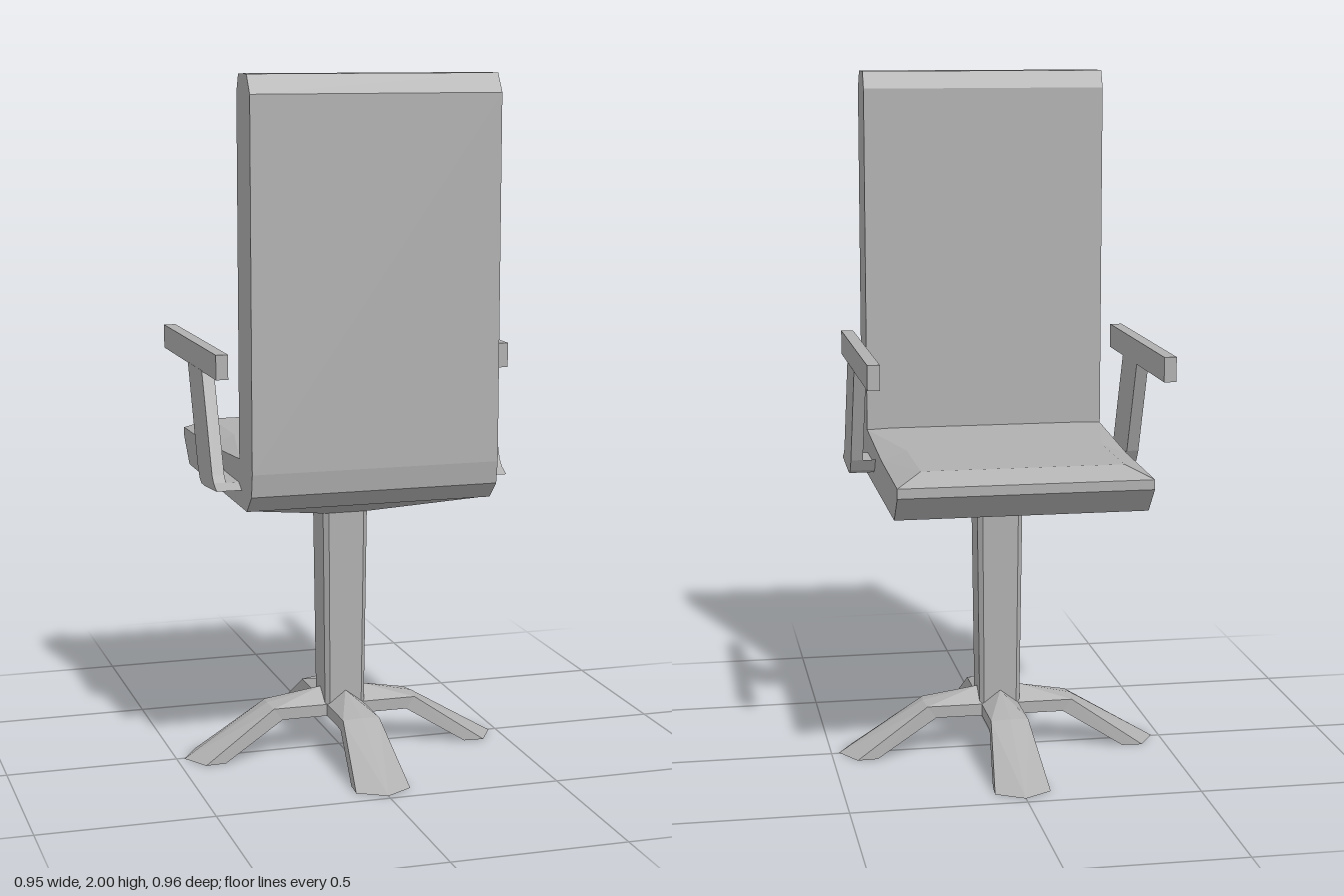
import * as THREE from 'three';
import { ConvexGeometry } from 'three/addons/geometries/ConvexGeometry.js';

export function createModel() {
  const chair = new THREE.Group();
  chair.name = 'swivelChair';
  const grey = new THREE.MeshStandardMaterial({ color: 0xb0b0b0, flatShading: true });
  grey.name = 'plain grey';

  const add = (name, geometry, parent = chair) => {
    const mesh = new THREE.Mesh(geometry, grey);
    mesh.name = name;
    parent.add(mesh);
    return mesh;
  };
  // Solid hull around [x, y, z] corners
  const hull = (points) => new ConvexGeometry(points.map((p) => new THREE.Vector3(...p)));
  // Corners repeated on both sides of x = 0
  const mirrored = (points) => points.flatMap(([x, y, z]) => [[x, y, z], [-x, y, z]]);
  // Side outline given as [z, y], swept from x0 to x1
  const sweep = (outline, x0, x1) => {
    const shape = new THREE.Shape(outline.map(([z, y]) => new THREE.Vector2(-z, y)));
    return new THREE.ExtrudeGeometry(shape, { depth: x1 - x0, bevelEnabled: false })
      .rotateY(Math.PI / 2).translate(x0, 0, 0);
  };

  // L-shaped seat and backrest shell
  const W = 0.358;
  add('seatAndBackrest', sweep([
    [0.305, 0.8], [-0.41, 0.8], [-0.48, 0.875], [-0.48, 0.903], [-0.13, 0.91], [0.222, 0.935],
    [0.222, 1.95], [0.243, 2], [0.333, 2], [0.367, 1.947], [0.367, 0.915], [0.357, 0.85],
  ], -W, W));

  // Raised cushion with sloping edges, front and rear halves
  add('cushionFront', hull(mirrored([
    [W, 0.903, -0.48], [W, 0.91, -0.13], [0.285, 0.937, -0.42], [0.285, 0.938, -0.13],
  ])));
  add('cushionRear', hull(mirrored([
    [W, 0.91, -0.13], [W, 0.935, 0.222], [0.285, 0.938, -0.13], [0.285, 0.938, 0.222],
  ])));

  // Tapered underside meeting the post
  add('seatUnderside', hull(mirrored([
    [W, 0.802, 0.305], [W, 0.802, -0.41], [0.064, 0.728, 0.073], [0.064, 0.728, -0.057],
  ])));

  // Post with narrow bevelled corners
  const ring = (y, a, b) => mirrored([[a, y, b], [a, y, -b], [b, y, a], [b, y, -a]]);
  const post = add('post', hull([...ring(0.735, 0.067, 0.053), ...ring(0.13, 0.06, 0.048)]));
  post.position.z = 0.007;

  // Four-legged base: a ridged arm that bends down to a pointed foot
  const base = new THREE.Group();
  base.name = 'base';
  base.position.z = 0.005;
  chair.add(base);
  const hub = [[0, 0.187, 0], ...mirrored([[0.055, 0.145, 0], [0.055, 0.11, 0]])];
  const shoulder = [[0, 0.187, 0.06]];
  const knee = [[0, 0.15, 0.225], ...mirrored([[0.055, 0.145, 0.218], [0.055, 0.11, 0.192]])];
  const foot = [[0, 0, 0.477], ...mirrored([[0.08, 0, 0.43], [0.076, 0, 0.37]])];
  for (let i = 0; i < 4; i++) {
    const leg = new THREE.Group();
    leg.name = 'leg' + (i + 1);
    leg.rotation.y = i * Math.PI / 2;
    base.add(leg);
    add('legArm', hull([...hub, ...shoulder, ...knee]), leg);
    add('legFoot', hull([...knee, ...foot]), leg);
  }

  // Armrests: level bar, slanted strut and bracket to the seat
  for (const side of [1, -1]) {
    const arm = new THREE.Group();
    arm.name = side > 0 ? 'leftArmrest' : 'rightArmrest';
    chair.add(arm);
    const span = (a, b) => (side > 0 ? [a, b] : [-b, -a]);
    const bar = new THREE.BoxGeometry(0.035, 0.07, 0.672);
    add('armBar', bar.translate(side * 0.412, 1.199, -0.086), arm);
    add('armStrut', sweep([
      [0.08, 1.166], [-0.097, 1.166], [0.015, 0.885], [0.038, 0.85], [0.062, 0.838],
      [0.1, 0.838], [0.248, 0.85], [0.213, 0.867], [0.195, 0.885],
    ], ...span(0.395, 0.43)), arm);
    add('armBracket', sweep([
      [0.015, 0.885], [0.038, 0.85], [0.062, 0.838], [0.1, 0.838],
      [0.248, 0.85], [0.213, 0.867], [0.04, 0.867],
    ], ...span(0.35, 0.395)), arm);
  }
  return chair;
}
